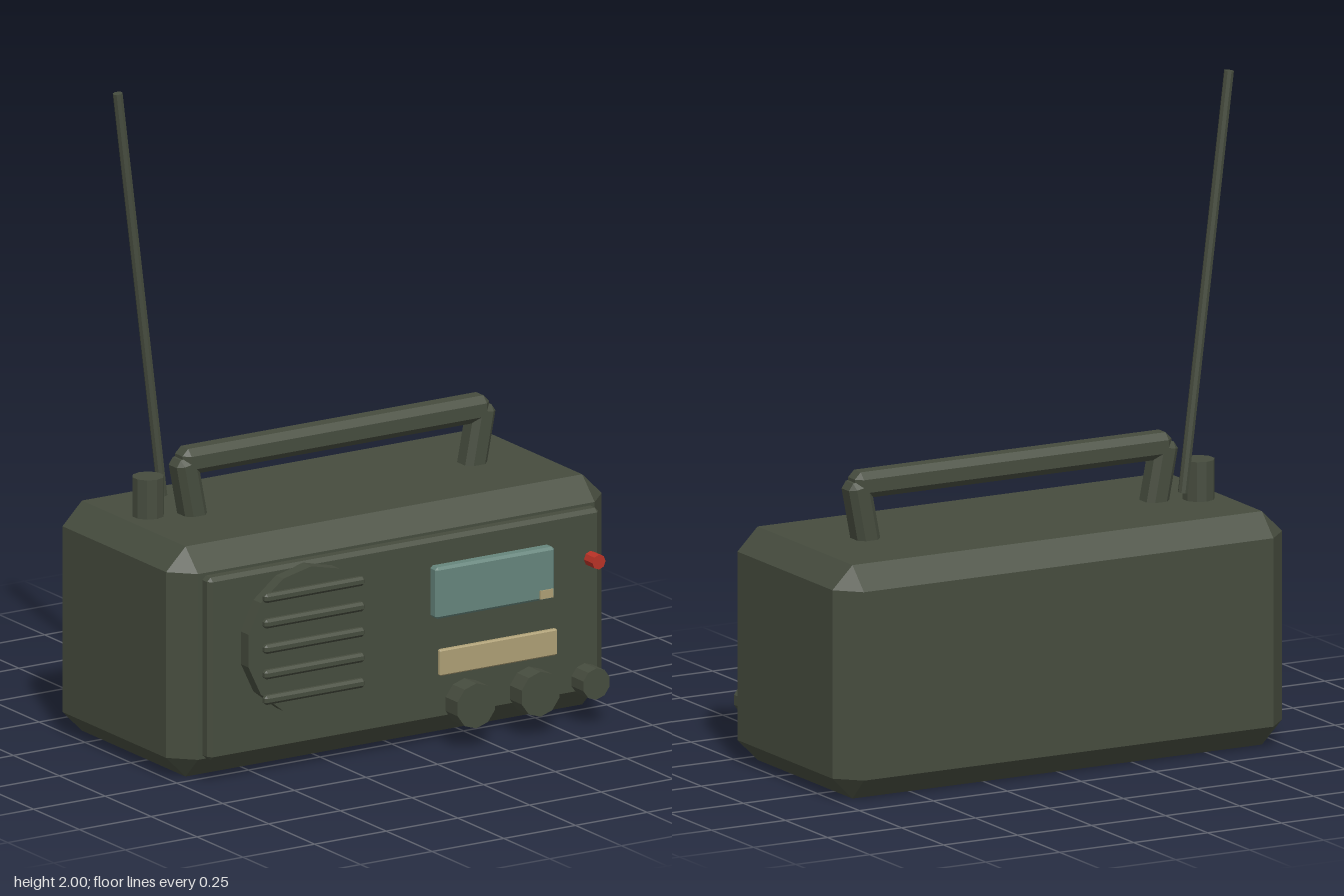
import * as THREE from 'three';
import { ConvexGeometry } from 'three/addons/geometries/ConvexGeometry.js';

const material = (name, color) => {
  const m = new THREE.MeshStandardMaterial({ color });
  m.name = name;
  return m;
};

// Box with every edge cut at 45 degrees
function chamferBox(w, h, d, c) {
  const points = [];
  for (const sx of [-1, 1]) for (const sy of [-1, 1]) for (const sz of [-1, 1]) {
    const x = w / 2, y = h / 2, z = d / 2;
    points.push(
      new THREE.Vector3(sx * x, sy * (y - c), sz * (z - c)),
      new THREE.Vector3(sx * (x - c), sy * y, sz * (z - c)),
      new THREE.Vector3(sx * (x - c), sy * (y - c), sz * z));
  }
  return new ConvexGeometry(points);
}

// Faceted cylinder as flat-shaded geometry
function facetCylinder(r, length, sides) {
  const g = new THREE.CylinderGeometry(r, r, length, sides).toNonIndexed();
  g.computeVertexNormals();
  return g;
}

export function createModel() {
  const radio = new THREE.Group();
  radio.name = 'radio';
  const olive = material('olive casing', 0x464c3e);
  const teal = material('teal screen', 0x66857c);
  const tan = material('tan dial', 0xad9f75);
  const red = material('red lamp', 0xb83226);

  const add = (name, geometry, mat, x, y, z) => {
    const mesh = new THREE.Mesh(geometry, mat);
    mesh.name = name;
    mesh.position.set(x, y, z);
    radio.add(mesh);
    return mesh;
  };
  // Cylinder pointing forward, between two depths
  const addDisc = (name, mat, x, y, z0, z1, r, sides) => {
    const g = facetCylinder(r, z1 - z0, sides).rotateX(Math.PI / 2);
    return add(name, g, mat, x, y, (z0 + z1) / 2);
  };

  // Casing and front panel
  add('body', chamferBox(1.52, 0.705, 0.7, 0.068), olive, 0, 0.3525, -0.075);
  add('frontPanel', chamferBox(1.365, 0.56, 0.05, 0.012), olive, -0.002, 0.353, 0.3);

  // Speaker with grille bars
  addDisc('speaker', olive, -0.355, 0.405, 0.32, 0.366, 0.225, 14);
  for (let i = 0; i < 5; i++) {
    add('grilleBar', chamferBox(0.35, 0.028, 0.026, 0.008), olive, -0.355, 0.25 + i * 0.078, 0.378);
  }

  // Screen, its small marker and the tuning dial
  add('screen', chamferBox(0.415, 0.158, 0.042, 0.008), teal, 0.283, 0.478, 0.355);
  add('screenMarker', new THREE.BoxGeometry(0.045, 0.026, 0.009), tan, 0.458, 0.418, 0.376);
  add('tuningDial', chamferBox(0.41, 0.08, 0.018, 0.004), tan, 0.283, 0.27, 0.384);

  // Knobs and lamp
  for (const [x, r] of [[0.183, 0.069], [0.407, 0.069], [0.602, 0.048]]) {
    addDisc('knob', olive, x, 0.131, 0.36, 0.425, r, 10);
  }
  addDisc('lamp', red, 0.613, 0.502, 0.375, 0.422, 0.023, 8);

  // Carrying handle on two leaning legs
  add('handleBar', chamferBox(1.07, 0.08, 0.08, 0.02), olive, 0, 0.87, -0.075);
  for (const side of [-1, 1]) {
    const leg = add('handleLeg', chamferBox(0.075, 0.24, 0.08, 0.018), olive, side * 0.5, 0.765, -0.075);
    leg.rotation.z = -side * 0.19;
  }

  // Antenna socket and rod
  add('antennaSocket', facetCylinder(0.048, 0.13, 10), olive, -0.61, 0.76, -0.125);
  const foot = new THREE.Vector3(-0.53, 0.742, -0.172);
  const tip = new THREE.Vector3(-0.686, 1.998, -0.172);
  const rod = add('antenna', facetCylinder(0.015, foot.distanceTo(tip), 8), olive, 0, 0, 0);
  rod.position.copy(foot).lerp(tip, 0.5);
  rod.quaternion.setFromUnitVectors(new THREE.Vector3(0, 1, 0), tip.clone().sub(foot).normalize());

  return radio;
}
